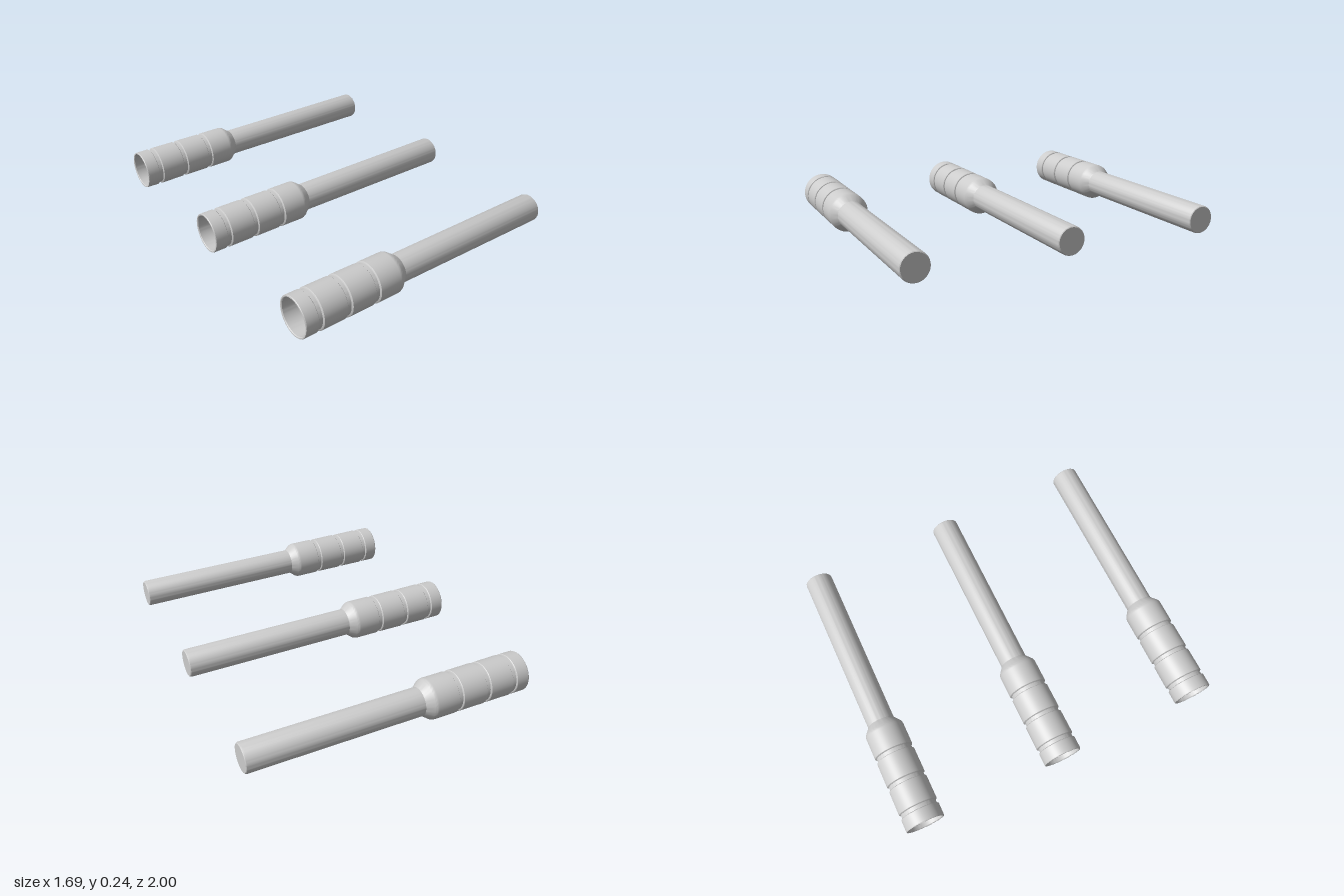
import * as THREE from 'three';
import { toCreasedNormals } from 'three/addons/utils/BufferGeometryUtils.js';

const material = new THREE.MeshStandardMaterial({ color: 0xcccccc, side: THREE.DoubleSide });

// Turned part lying along x, from a profile of [radius, x] points
function turned(name, profile) {
  const points = profile.map(([r, x]) => new THREE.Vector2(r, x));
  const lathe = new THREE.LatheGeometry(points, 64).rotateZ(-Math.PI / 2);
  const mesh = new THREE.Mesh(toCreasedNormals(lathe, Math.PI / 7), material);
  mesh.name = name;
  return mesh;
}

function sleeveProfile() {
  const start = -0.845, wall = 0.117, grooveRadius = 0.108;
  // Hollow inside, open at the -x end
  const profile = [[0, -0.26], [0.104, -0.26], [0.104, start + 0.004], [0.108, start], [0.115, start], [wall, start + 0.004]];
  // Three ring grooves with slightly eased edges
  for (const x of [-0.753, -0.578, -0.397]) {
    profile.push([wall, x - 0.016], [wall - 0.003, x - 0.013], [grooveRadius, x - 0.011],
      [grooveRadius, x + 0.011], [wall - 0.003, x + 0.013], [wall + 0.001, x + 0.016]);
  }
  // Rounded shoulder and cone down to the rod
  profile.push([0.118, -0.25], [0.117, -0.24], [0.113, -0.23], [0.086, -0.195], [0.082, -0.188]);
  return profile;
}

const rodProfile = [[0.082, -0.2], [0.083, 0.832], [0.081, 0.839], [0.077, 0.843], [0, 0.843]];

function createPin() {
  const pin = new THREE.Group();
  pin.name = 'pin';
  pin.add(turned('groovedSleeve', sleeveProfile()), turned('rod', rodProfile));
  return pin;
}

export function createModel() {
  const model = new THREE.Group();
  model.name = 'pinSet';
  // Three parallel pins in a row
  for (const z of [-0.882, 0, 0.882]) {
    const pin = createPin();
    pin.position.set(0, 0.12, z);
    model.add(pin);
  }
  return model;
}
